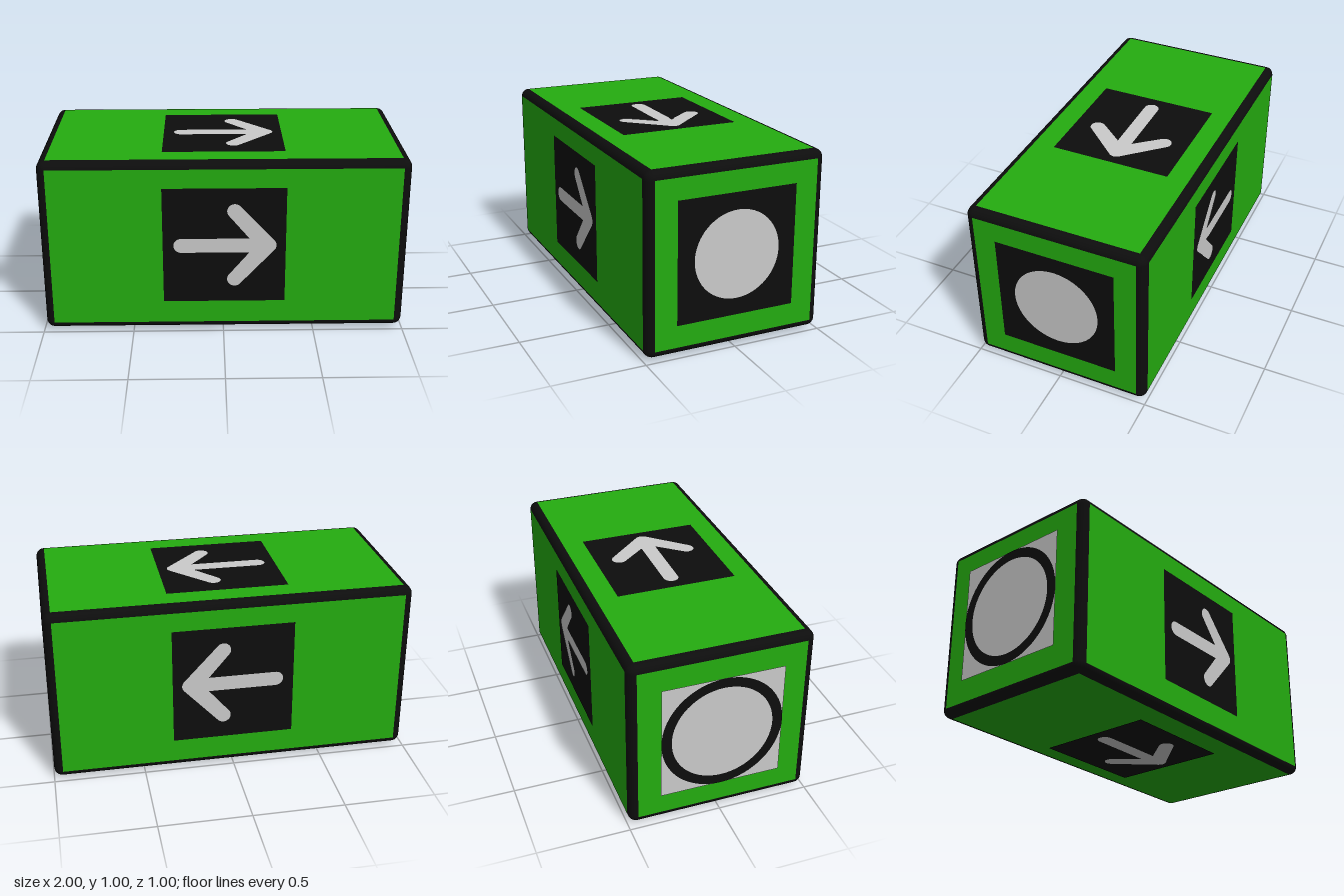
import * as THREE from 'three';
import { RoundedBoxGeometry } from 'three/addons/geometries/RoundedBoxGeometry.js';

const black = new THREE.MeshStandardMaterial({ name: 'black', color: 0x0d0d0d });
const green = new THREE.MeshStandardMaterial({ name: 'green', color: 0x24ac10 });
const grey = new THREE.MeshStandardMaterial({ name: 'lightGrey', color: 0xcacaca });

function add(parent, name, geometry, material, x = 0, y = 0, z = 0) {
  const mesh = new THREE.Mesh(geometry, material);
  mesh.name = name;
  mesh.position.set(x, y, z);
  parent.add(mesh);
  return mesh;
}

// Round-ended arrow pointing along +x, drawn as one outline
function arrowShape() {
  const r = 0.041, tail = -0.23, tip = 0.245, armX = 0.06, armY = 0.2;
  const a = Math.atan2(tip - armX, armY); // tilt of the arm's normal
  const notch = tip - r * (1 + Math.cos(a)) / Math.sin(a) - r * 0.01;
  const s = new THREE.Shape();
  s.absarc(tail, 0, r, Math.PI / 2, Math.PI * 1.5, false);
  s.lineTo(notch, -r);
  s.absarc(armX, -armY, r, Math.PI - a, Math.PI * 2 - a, false);
  s.absarc(tip, 0, r, -a, a, false);
  s.absarc(armX, armY, r, a, Math.PI + a, false);
  s.lineTo(notch, r);
  s.closePath();
  return s;
}

export function createModel() {
  const model = new THREE.Group();
  model.name = 'signBlock';
  const cx = 0.006, cy = 0.507;

  // Black core whose rounded edges form the frame
  add(model, 'frame', new RoundedBoxGeometry(1.982, 0.98, 0.99, 4, 0.045), black, cx, cy, 0);

  // Four long sides: green plate, black square, arrow toward +x
  const arrow = new THREE.ShapeGeometry(arrowShape(), 12);
  const sides = [
    { name: 'front', turn: 0, pos: [0, cy, 0.496], lift: 0.002, shift: 0.012 },
    { name: 'back', turn: Math.PI, pos: [0, cy, -0.496], lift: 0.002, shift: -0.012 },
    { name: 'top', turn: -Math.PI / 2, pos: [0, 0.998, 0], lift: 0.001, shift: 0 },
    { name: 'bottom', turn: Math.PI / 2, pos: [0, 0.015, 0], lift: 0.013, shift: 0 },
  ];
  for (const { name, turn, pos, lift, shift } of sides) {
    const side = new THREE.Group();
    side.name = name + 'Side';
    side.position.set(...pos);
    side.rotation.x = turn;
    add(side, name + 'Plate', new THREE.PlaneGeometry(1.89, 0.9), green, cx, 0, 0);
    add(side, name + 'Square', new THREE.PlaneGeometry(0.665, 0.665), black, 0.004, shift, lift);
    add(side, name + 'Arrow', arrow, grey, 0, shift * 1.2, lift + 0.002);
    model.add(side);
  }

  // Ends: disc on black at +x, ring on grey at -x
  for (const s of [1, -1]) {
    const name = s > 0 ? 'left' : 'right';
    const end = new THREE.Group();
    end.name = name + 'End';
    end.position.set(s > 0 ? 0.9975 : -0.9855, cy, 0);
    end.rotation.y = s * Math.PI / 2;
    const lift = s > 0 ? 0.001 : 0.0125;
    add(end, name + 'Plate', new THREE.PlaneGeometry(0.9, 0.895), green);
    add(end, name + 'Square', new THREE.PlaneGeometry(0.66, 0.66), s > 0 ? black : grey, 0, 0.003, lift);
    if (s > 0) add(end, 'disc', new THREE.CircleGeometry(0.238, 64), grey, 0, 0.004, lift + 0.002);
    else add(end, 'ring', new THREE.RingGeometry(0.275, 0.33, 64), black, 0, 0.003, lift + 0.002);
    model.add(end);
  }
  return model;
}
